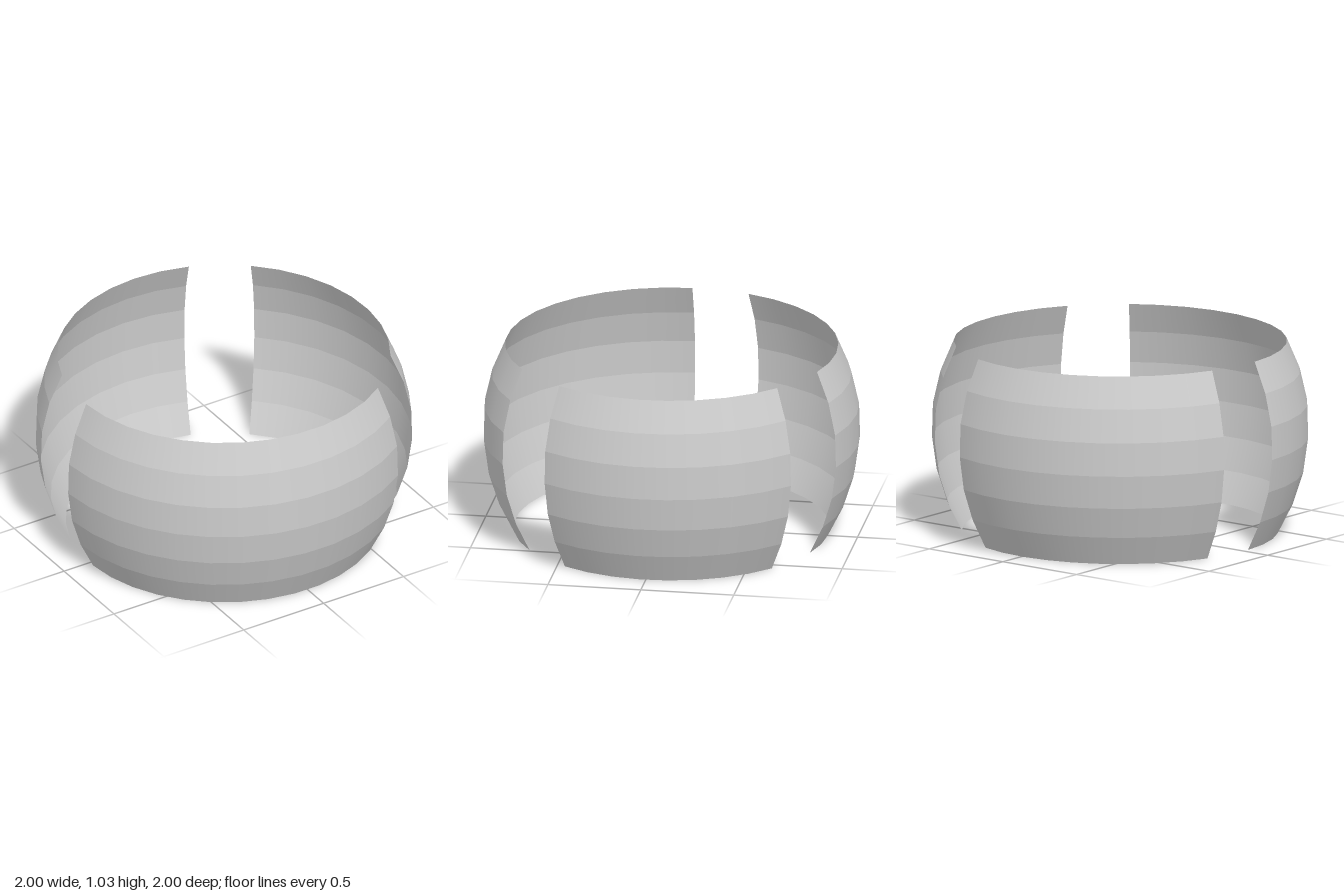
import * as THREE from 'three';

// Barrel-shaped profile: [radius, height]
const PROFILE = [
  [0.84, 0], [0.92, 0.16], [0.975, 0.33], [1, 0.51],
  [0.995, 0.69], [0.955, 0.865], [0.885, 1.03],
].map(([r, y]) => new THREE.Vector2(r, y));

// Curved panels: start and end in degrees, from the front (+z) towards +x
const PANELS = [
  { name: 'frontPanel', from: -87.7, to: 35.6, segments: 12 },
  { name: 'leftPanel', from: 57, to: 138.7, segments: 8 },
  { name: 'backPanel', from: 160.1, to: 252, segments: 9 },
];

export function createModel() {
  const model = new THREE.Group();
  model.name = 'splitRing';
  const material = new THREE.MeshStandardMaterial({ color: 0xcccccc, side: THREE.DoubleSide });

  for (const { name, from, to, segments } of PANELS) {
    const panel = new THREE.Group();
    panel.name = name;
    // One band per row: smooth around, creased between rows
    for (let i = 0; i < PROFILE.length - 1; i++) {
      const band = new THREE.Mesh(
        new THREE.LatheGeometry(
          [PROFILE[i], PROFILE[i + 1]], segments,
          THREE.MathUtils.degToRad(from), THREE.MathUtils.degToRad(to - from),
        ),
        material,
      );
      band.name = `${name}Band${i + 1}`;
      panel.add(band);
    }
    model.add(panel);
  }
  return model;
}
